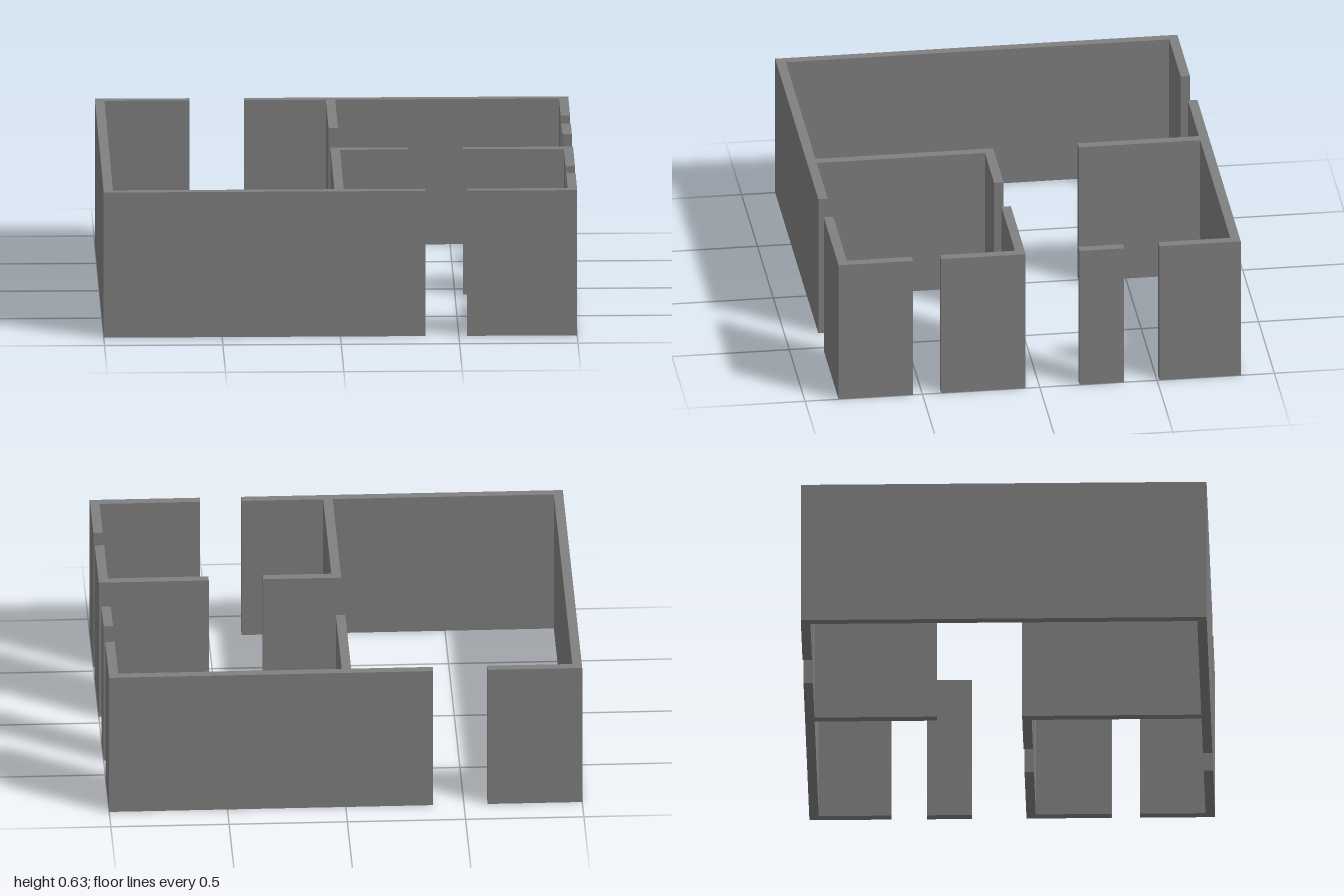
import * as THREE from 'three';

const HEIGHT = 0.63;
const T = 0.04; // wall thickness

// Extrudes a floor-plan outline of [x, z] corners up to the wall height
function wall(name, outline, material) {
  const shape = new THREE.Shape(outline.map(([x, z]) => new THREE.Vector2(x, -z)));
  const geometry = new THREE.ExtrudeGeometry(shape, { depth: HEIGHT, bevelEnabled: false });
  geometry.rotateX(-Math.PI / 2);
  const mesh = new THREE.Mesh(geometry, material);
  mesh.name = name;
  return mesh;
}

export function createModel() {
  const model = new THREE.Group();
  model.name = 'floorPlanWalls';
  const plaster = new THREE.MeshStandardMaterial({ color: 0x808080 });
  plaster.name = 'wallGrey';

  // Outer faces of the building and faces of the partitions
  const W = -1, E = 1, N = -0.857, S = 0.857;
  const P0 = -0.025, P1 = P0 + T; // central partition, x
  const Q0 = 0.06, Q1 = Q0 + T;   // cross partition, z

  // Long side wall, both adjoining walls and the front room partition
  model.add(wall('mainWalls', [
    [W, N], [-0.6, N], [-0.6, N + T], [W + T, N + T], [W + T, S - T], [P0, S - T],
    [P0, Q0], [0.305, Q0], [0.305, Q1], [P1, Q1], [P1, S - T],
    [0.36, S - T], [0.36, S], [W, S],
  ], plaster));

  // Back wall with its partition and the back corner
  model.add(wall('backWalls', [
    [-0.37, N], [E, N], [E, -0.51], [E - T, -0.51], [E - T, N + T],
    [P1, N + T], [P1, -0.3], [P0, -0.3], [P0, N + T], [-0.37, N + T],
  ], plaster));

  // Free-standing pier between two side openings
  model.add(wall('sidePier', [
    [E - T, -0.36], [E, -0.36], [E, -0.17], [E - T, -0.17],
  ], plaster));

  // Cross partition meeting the side wall
  model.add(wall('crossPartition', [
    [0.535, Q0], [E, Q0], [E, 0.42], [E - T, 0.42], [E - T, Q1], [0.535, Q1],
  ], plaster));

  // Front corner beside the entrance
  model.add(wall('frontCorner', [
    [E - T, 0.54], [E, 0.54], [E, S], [0.535, S], [0.535, S - T], [E - T, S - T],
  ], plaster));

  return model;
}
